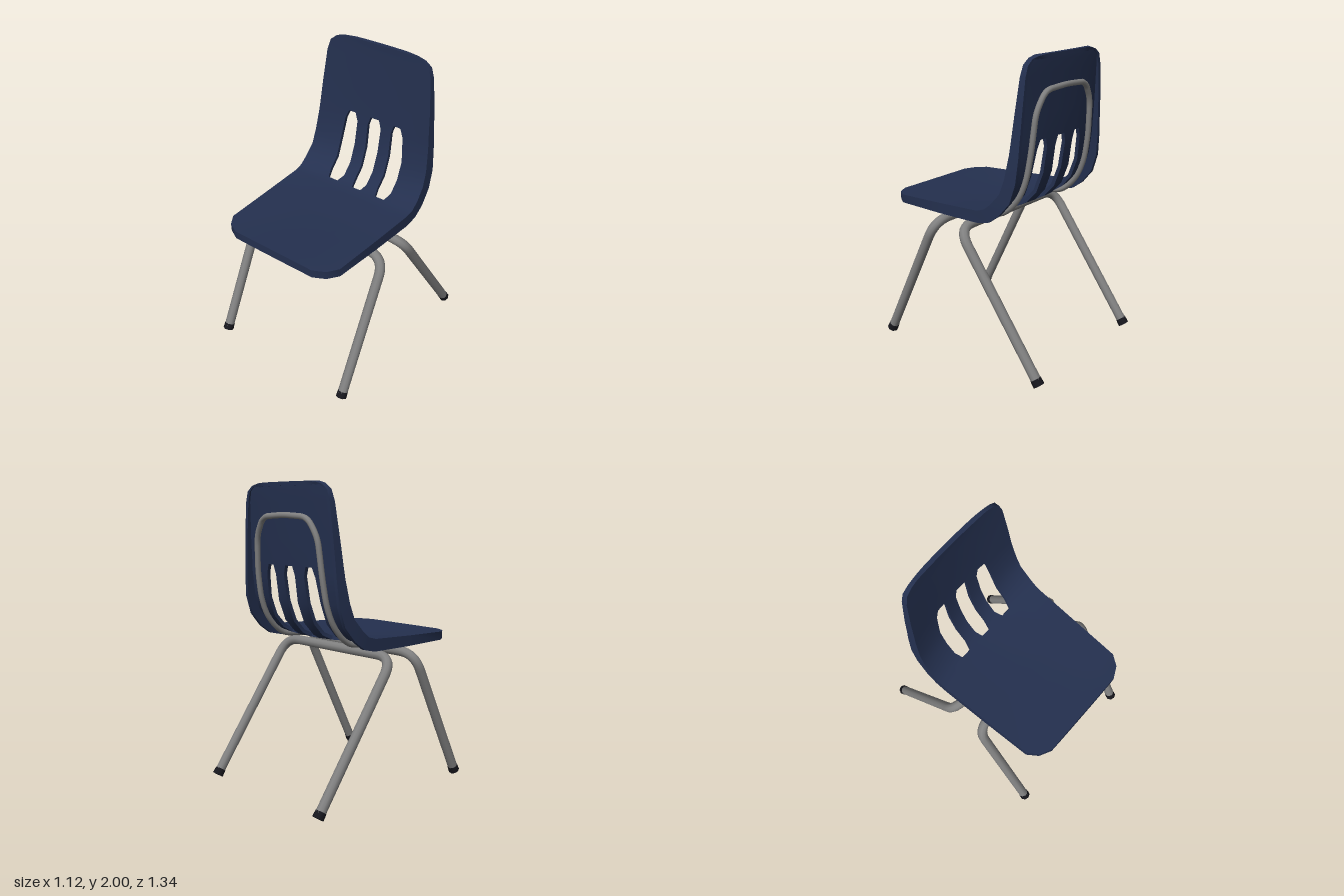
import * as THREE from 'three';
import { toCreasedNormals } from 'three/addons/utils/BufferGeometryUtils.js';

const V = (x, y, z) => new THREE.Vector3(x, y, z);

// Shell stations from the front lip to the top of the back:
// centre z, centre y, edge z, edge y, half width, rim depth
const ROWS = [
  [0.66, 1.0, 0.66, 1.0, 0.32, 0.055],
  [0.62, 1.0, 0.62, 1.002, 0.4, 0.055],
  [0.55, 1.0, 0.55, 1.005, 0.45, 0.056],
  [0.2, 1.0, 0.2, 1.018, 0.465, 0.07],
  [-0.12, 1.01, -0.12, 1.033, 0.477, 0.08],
  [-0.2, 1.02, -0.18, 1.05, 0.48, 0.085],
  [-0.25, 1.045, -0.235, 1.095, 0.48, 0.09],
  [-0.32, 1.12, -0.3, 1.17, 0.475, 0.09],
  [-0.37, 1.25, -0.335, 1.27, 0.47, 0.085],
  [-0.395, 1.42, -0.36, 1.42, 0.457, 0.07],
  [-0.4, 1.48, -0.365, 1.48, 0.451, 0.065],
  [-0.415, 1.65, -0.38, 1.65, 0.437, 0.055],
  [-0.425, 1.88, -0.4, 1.88, 0.412, 0.04],
  [-0.43, 1.95, -0.405, 1.95, 0.39, 0.035],
  [-0.43, 1.985, -0.408, 1.985, 0.345, 0.03],
  [-0.43, 2.0, -0.41, 2.0, 0.29, 0.03],
];
const SLOT_START = 5, SLOT_END = 10, LAST = ROWS.length - 1, COLS = 10;

// Column positions; the slot edges pinch in at both ends of the slots
function columns(i) {
  const w = ROWS[i][4];
  let slot = [0.05, 0.14, 0.2];
  if (i === SLOT_START) slot = [0.035, 0.165, 0.24];
  else if (i === SLOT_END) slot = [0.035, 0.16, 0.215];
  else if (i === SLOT_END - 1) slot = [0.055, 0.14, 0.24];
  else if (i > SLOT_START && i < SLOT_END) slot = [0.052, 0.143, 0.26];
  const half = [...slot, (slot[2] + w) / 2, w];
  return [...half.map((x) => -x).reverse(), ...half];
}

function shellGeometry() {
  const THICK = 0.025;
  const top = ROWS.map(([zc, yc, ze, ye], i) => columns(i).map((x) => {
    const f = Math.min(1, (x / 0.47) ** 2);
    return V(x, yc + (ye - yc) * f, zc + (ze - zc) * f);
  }));
  const tangent = (i, j) => top[Math.min(i + 1, LAST)][j].clone().sub(top[Math.max(i - 1, 0)][j]).setX(0).normalize();
  const away = (i, j) => { const t = tangent(i, j); return V(0, t.z, -t.y); };
  const inset = (p, i, j) => {
    if (j === 0) p.x += THICK;
    if (j === COLS - 1) p.x -= THICK;
    if (i === 0) p.addScaledVector(tangent(i, j), THICK);
    if (i === LAST) p.addScaledVector(tangent(i, j), -THICK);
    return p;
  };
  const offset = (i, j, d) => top[i][j].clone().addScaledVector(away(i, j), d);
  const under = top.map((r, i) => r.map((p, j) => inset(offset(i, j, THICK), i, j)));
  const isHole = (i, j) => i >= SLOT_START && i < SLOT_END && (j === 2 || j === 4 || j === 6);

  const pos = [];
  const quad = (a, b, c, d) => [a, b, c, a, c, d].forEach((p) => pos.push(p.x, p.y, p.z));

  // Upper and lower skins, with walls inside the slots
  for (let i = 0; i < LAST; i++) {
    for (let j = 0; j < COLS - 1; j++) {
      const c = [[i, j], [i, j + 1], [i + 1, j + 1], [i + 1, j]];
      if (!isHole(i, j)) {
        quad(...c.map(([r, k]) => top[r][k]));
        quad(...c.map(([r, k]) => under[r][k]).reverse());
        continue;
      }
      [[i - 1, j], [i, j + 1], [i + 1, j], [i, j - 1]].forEach(([ni, nj], e) => {
        if (isHole(ni, nj)) return;
        const [r, k] = c[e], [s, l] = c[(e + 1) % 4];
        quad(top[r][k], top[s][l], under[s][l], under[r][k]);
      });
    }
  }

  // Turned-down rim all round
  const loop = [];
  for (let j = 0; j < COLS - 1; j++) loop.push([0, j]);
  for (let i = 0; i < LAST; i++) loop.push([i, COLS - 1]);
  for (let j = COLS - 1; j > 0; j--) loop.push([LAST, j]);
  for (let i = LAST; i > 0; i--) loop.push([i, 0]);
  const section = ([i, j]) => {
    const lip = offset(i, j, ROWS[i][5]);
    return [top[i][j], lip, inset(lip.clone(), i, j), under[i][j]];
  };
  loop.forEach((a, n) => {
    const A = section(a), B = section(loop[(n + 1) % loop.length]);
    for (let k = 0; k < 3; k++) quad(A[k], A[k + 1], B[k + 1], B[k]);
  });

  const geo = new THREE.BufferGeometry();
  geo.setAttribute('position', new THREE.Float32BufferAttribute(pos, 3));
  return toCreasedNormals(geo, 0.7);
}

// Straight runs joined by rounded corners
function bentPath(points, radius) {
  const path = new THREE.CurvePath();
  let from = points[0];
  for (let i = 1; i < points.length - 1; i++) {
    const p = points[i];
    const toward = (q) => p.clone().add(q.clone().sub(p).setLength(Math.min(radius, p.distanceTo(q) * 0.45)));
    const a = toward(points[i - 1]), b = toward(points[i + 1]);
    path.add(new THREE.LineCurve3(from, a));
    path.add(new THREE.QuadraticBezierCurve3(a, p, b));
    from = b;
  }
  path.add(new THREE.LineCurve3(from, points[points.length - 1]));
  return path;
}

const mirrored = (half) => [...half, ...half.slice().reverse().filter((p) => p.x !== 0).map((p) => V(-p.x, p.y, p.z))];

export function createModel() {
  const group = new THREE.Group();
  const plastic = new THREE.MeshStandardMaterial({ color: 0x24304f });
  const metal = new THREE.MeshStandardMaterial({ color: 0x808080 });
  const rubber = new THREE.MeshStandardMaterial({ color: 0x17171d });
  const add = (name, geo, mat) => {
    const mesh = new THREE.Mesh(geo, mat);
    mesh.name = name;
    group.add(mesh);
    return mesh;
  };

  add('seatShell', shellGeometry(), plastic);

  // Support hoop under the seat and up the back
  const hoop = mirrored([
    V(0.33, 0.957, 0.43), V(0.33, 0.968, 0), V(0.33, 0.985, -0.2), V(0.33, 1.04, -0.28),
    V(0.33, 1.13, -0.352), V(0.327, 1.25, -0.398), V(0.32, 1.42, -0.425), V(0.3, 1.66, -0.443),
    V(0.22, 1.785, -0.455), V(0, 1.797, -0.46),
  ]);
  add('backHoop', new THREE.TubeGeometry(bentPath(hoop, 0.06), 140, 0.019, 8), metal);

  // Leg hoops with rubber feet
  for (const [name, zTop, zFoot] of [['front', 0.19, 0.62], ['rear', -0.015, -0.635]]) {
    const corner = V(0.525, 0.908, zTop), foot = V(0.525, 0.035, zFoot);
    const legs = mirrored([foot, corner]);
    add(name + 'Legs', new THREE.TubeGeometry(bentPath(legs, 0.13), 120, 0.033, 10), metal);
    const axis = corner.clone().sub(foot).normalize();
    for (const side of [1, -1]) {
      const cap = add(name + (side > 0 ? 'LeftFoot' : 'RightFoot'), new THREE.CylinderGeometry(0.035, 0.037, 0.045, 8), rubber);
      cap.position.set(side * foot.x, foot.y, foot.z);
      cap.quaternion.setFromUnitVectors(V(0, 1, 0), axis);
    }
  }
  return group;
}
